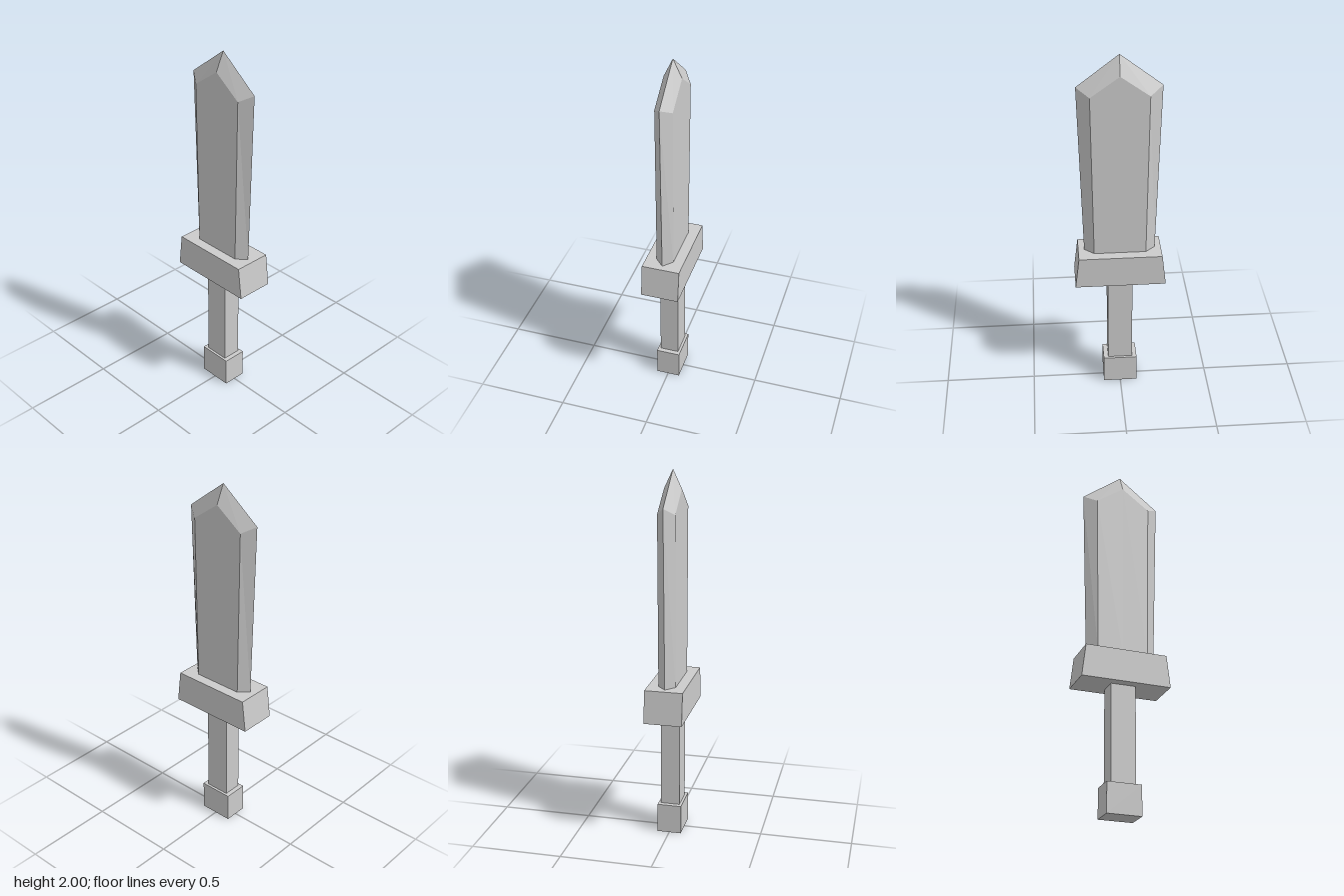
import * as THREE from 'three';

const material = new THREE.MeshStandardMaterial({ color: 0xcccccc, flatShading: true });

// Box standing on y0, optionally narrower in x at its top
function block(name, y0, y1, halfX, halfZ, topHalfX = halfX) {
  const geo = new THREE.BoxGeometry(2 * halfX, y1 - y0, 2 * halfZ);
  geo.translate(0, (y0 + y1) / 2, 0);
  const pos = geo.attributes.position;
  for (let i = 0; i < pos.count; i++) {
    if (pos.getY(i) > (y0 + y1) / 2) pos.setX(i, Math.sign(pos.getX(i)) * topHalfX);
  }
  geo.computeVertexNormals();
  const mesh = new THREE.Mesh(geo, material);
  mesh.name = name;
  return mesh;
}

// Bevelled cross-section: sharp side edges, flat front and back with a middle point
function section(edgeX, flatX, z, edgeY, flatY, midY) {
  return [
    [edgeX, edgeY, 0], [flatX, flatY, z], [0, midY, z], [-flatX, flatY, z],
    [-edgeX, edgeY, 0], [-flatX, flatY, -z], [0, midY, -z], [flatX, flatY, -z],
  ];
}

// Blade widening upward, closed by bevels meeting at the tip
function blade() {
  const low = section(0.192, 0.14, 0.047, 0.87, 0.87, 0.87);
  const high = section(0.22, 0.152, 0.047, 1.83, 1.79, 1.9);
  const tip = [0, 2, 0];
  const base = [0, 0.87, 0];
  const points = [];
  for (let i = 0; i < 8; i++) {
    const j = (i + 1) % 8;
    points.push(low[i], high[i], high[j], low[i], high[j], low[j]);
    points.push(high[i], tip, high[j]);
    points.push(low[i], low[j], base);
  }
  const geo = new THREE.BufferGeometry();
  geo.setAttribute('position', new THREE.Float32BufferAttribute(points.flat(), 3));
  geo.computeVertexNormals();
  const mesh = new THREE.Mesh(geo, material);
  mesh.name = 'blade';
  return mesh;
}

export function createModel() {
  const sword = new THREE.Group();
  sword.name = 'sword';
  sword.add(
    block('pommel', 0, 0.163, 0.094, 0.066),
    block('grip', 0.163, 0.695, 0.068, 0.052),
    block('guard', 0.695, 0.873, 0.246, 0.103, 0.225),
    blade(),
  );
  return sword;
}
